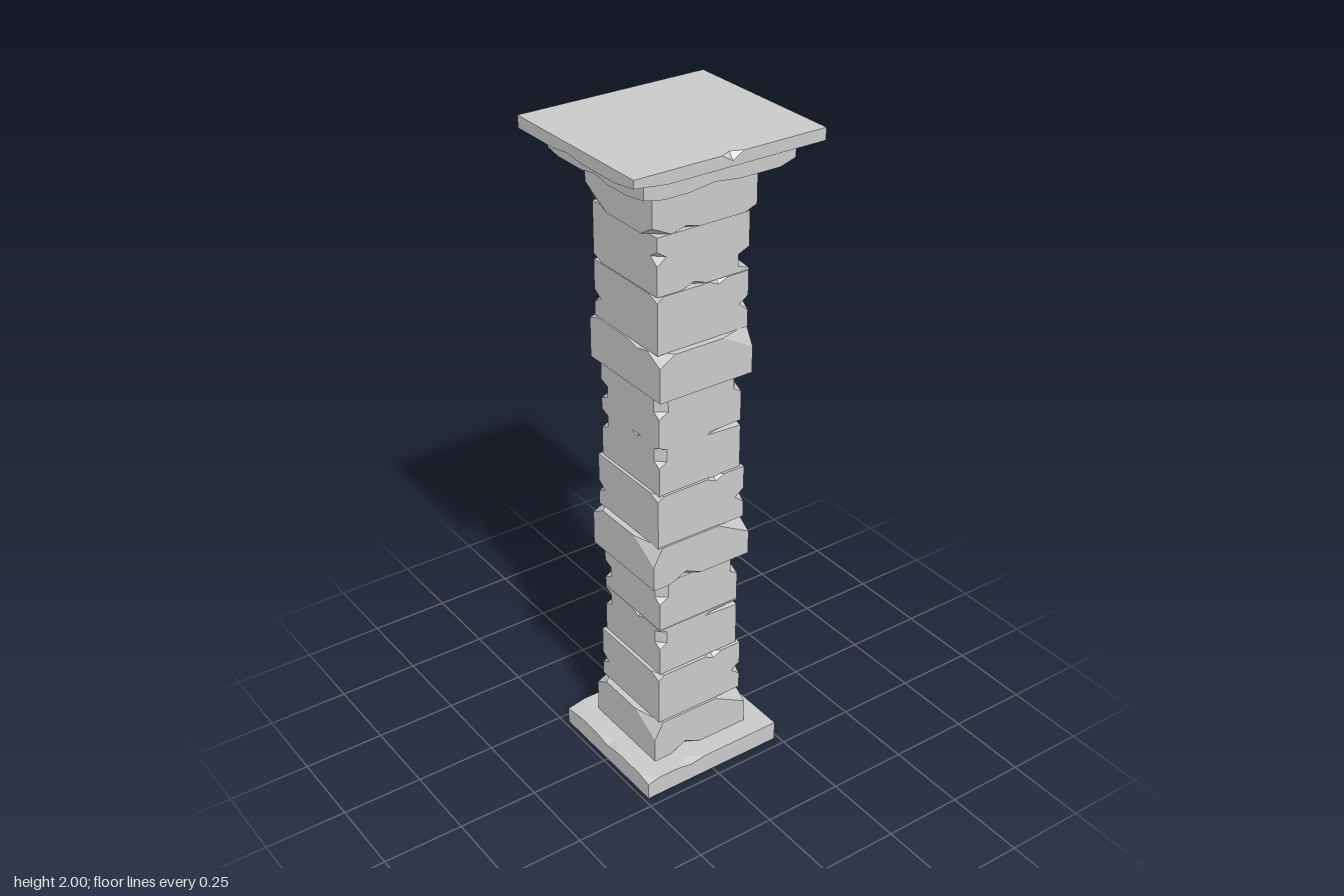
import * as THREE from 'three';

const stone = new THREE.MeshStandardMaterial({ color: 0xcacaca });
stone.name = 'stone grey';

// A chipped stone block centred on its own origin. Sides 0-3 are front, +x, back, -x;
// corner k is the right-hand end of side k when that side is faced.
//   chips:   [side, top(1)/bottom(-1), along, halfWidth, height, depth]
//   cuts:    [corner, top(1)/bottom(-1), reachOnSide, reachOnNextSide, height]
//   notches: [corner, y0, y1, y2, y3, reachOnSide, reachOnNextSide], y from the block's foot
function blockGeometry({ w, d, h, chips = [], cuts = [], notches = [] }) {
  const out = [];
  const half = (k) => (k % 2 ? d : w) / 2;
  const point = (k, u, y, inset = 0) => {
    k = (k + 4) % 4;
    const s = [0, 1, 0, -1][k], c = [1, 0, -1, 0][k], n = half(k + 1) - inset;
    return [c * u + s * n, y, -s * u + c * n];
  };
  const tri = (a, b, c) => out.push(...a, ...b, ...c);
  const fill = (flat, solid) => {
    const contour = flat.map(([x, y]) => new THREE.Vector2(x, y));
    for (const [a, b, c] of THREE.ShapeUtils.triangulateShape(contour, [])) tri(solid[a], solid[b], solid[c]);
  };
  const cutAt = (c, e) => cuts.find((t) => t[0] === (c + 4) % 4 && t[1] === e);

  // Points along one horizontal edge, left to right: [u, y, inset on top or bottom face]
  const edge = (k, e) => {
    const y = e * h / 2, hw = half(k), left = cutAt(k - 1, e), right = cutAt(k, e);
    const pts = left ? [[-hw, y - e * left[4], -1], [-hw + left[3], y, 0]] : [[-hw, y, 0]];
    chips.filter((t) => t[0] === k && t[1] === e).sort((a, b) => a[2] - b[2]).forEach(([, , u, r, ch, dep]) =>
      pts.push([u - r, y, 0], [u, y - e * ch, dep], [u + r, y, 0]));
    if (right) pts.push([hw - right[2], y, 0], [hw, y - e * right[4], -1]);
    else pts.push([hw, y, 0]);
    return pts;
  };

  // Upright faces with their bitten outlines
  for (let k = 0; k < 4; k++) {
    const hw = half(k), foot = -h / 2;
    const bites = (c, sign, reach) => notches.filter((t) => t[0] === (c + 4) % 4).sort((a, b) => a[1] - b[1])
      .flatMap((t) => [[sign * hw, t[1] + foot], [sign * (hw - t[reach]), t[2] + foot],
        ...(t[3] > t[2] ? [[sign * (hw - t[reach]), t[3] + foot]] : []), [sign * hw, t[4] + foot]]);
    const flat = [...edge(k, -1), ...bites(k, 1, 5), ...edge(k, 1).reverse(), ...bites(k - 1, -1, 6).reverse()];
    fill(flat, flat.map(([u, y]) => point(k, u, y)));
  }

  // Top and bottom faces
  for (const e of [1, -1]) {
    const ring = [];
    for (let k = 0; k < 4; k++) {
      const pts = edge(k, e).filter((p) => p[2] >= 0);
      if (!cutAt(k, e)) pts.pop();
      pts.forEach(([u, , inset]) => ring.push(point(k, u, e * h / 2, inset)));
    }
    if (e < 0) ring.reverse();
    fill(ring.map((p) => [p[0], -e * p[2]]), ring);
  }

  // Broken surfaces inside the chips, cuts and notches
  const facing = (e, a, b, c) => (e > 0 ? tri(a, b, c) : tri(a, c, b));
  for (const [k, e, u, r, ch, dep] of chips) {
    const y = e * h / 2, low = point(k, u, y - e * ch), inner = point(k, u, y, dep);
    facing(e, point(k, u - r, y), low, inner);
    facing(e, point(k, u + r, y), inner, low);
  }
  for (const [c, e, a, b, ch] of cuts) {
    const y = e * h / 2;
    facing(e, point(c, half(c), y - e * ch), point(c + 1, -half(c + 1) + b, y), point(c, half(c) - a, y));
  }
  for (const [c, ...t] of notches) {
    const [y0, y1, y2, y3] = t.slice(0, 4).map((y) => y - h / 2);
    const A = (y) => point(c, half(c) - t[4], y), B = (y) => point(c + 1, -half(c + 1) + t[5], y);
    tri(point(c, half(c), y0), B(y1), A(y1));
    tri(point(c, half(c), y3), A(y2), B(y2));
    if (y2 > y1) {
      tri(A(y1), B(y1), B(y2));
      tri(A(y1), B(y2), A(y2));
    }
  }

  const g = new THREE.BufferGeometry();
  g.setAttribute('position', new THREE.Float32BufferAttribute(out, 3));
  g.computeVertexNormals();
  return g;
}

// The kinds of block the pillar is stacked from
const kinds = {
  slab: {
    w: 0.473, d: 0.438, h: 0.063,
    cuts: [[1, 1, 0.07, 0.05, 0.015], [2, 1, 0.06, 0.08, 0.012], [3, 1, 0.05, 0.04, 0.01]],
    chips: [[0, 1, -0.08, 0.05, 0.008, 0.03], [1, 1, 0.03, 0.07, 0.01, 0.03],
      [2, 1, 0.02, 0.08, 0.01, 0.03], [3, 1, 0, 0.06, 0.01, 0.03]],
  },
  capSlab: {
    w: 0.592, d: 0.527, h: 0.035,
    cuts: [[3, -1, 0.08, 0.1, 0.012], [1, -1, 0.07, 0.08, 0.008]],
    chips: [[0, 1, 0, 0.034, 0.02, 0.016], [1, -1, 0, 0.06, 0.008, 0.025],
      [2, -1, 0.05, 0.07, 0.008, 0.025], [3, -1, -0.03, 0.06, 0.008, 0.025]],
  },
  band: {
    w: 0.333, d: 0.306, h: 0.135,
    cuts: [[0, 1, 0.11, 0.09, 0.06], [1, 1, 0.05, 0.04, 0.015], [2, 1, 0.06, 0.05, 0.03], [3, 1, 0.1, 0.03, 0.055]],
    chips: [[0, -1, -0.055, 0.055, 0.025, 0.03], [1, 1, 0.035, 0.04, 0.013, 0.02], [2, 1, 0.06, 0.045, 0.012, 0.02]],
  },
  wide: {
    w: 0.296, d: 0.296, h: 0.168,
    cuts: [[3, 1, 0.04, 0.02, 0.015]],
    chips: [[0, 1, 0.05, 0.03, 0.014, 0.02], [2, 1, 0.03, 0.04, 0.015, 0.02]],
    notches: [[0, 0.05, 0.075, 0.075, 0.095, 0.03, 0.03], [1, 0.1, 0.115, 0.15, 0.162, 0.11, 0.035],
      [2, 0.04, 0.06, 0.06, 0.08, 0.03, 0.03]],
  },
  narrow: {
    w: 0.276, d: 0.28, h: 0.158,
    chips: [[1, 1, 0.045, 0.027, 0.014, 0.02], [3, 1, 0.03, 0.03, 0.012, 0.02]],
    notches: [[0, 0.137, 0.144, 0.15, 0.154, 0.115, 0.03], [1, 0.05, 0.07, 0.07, 0.09, 0.025, 0.025],
      [2, 0.09, 0.105, 0.14, 0.152, 0.03, 0.03], [3, 0.09, 0.105, 0.145, 0.155, 0.025, 0.025]],
  },
  narrowUpper: {
    w: 0.276, d: 0.28, h: 0.158,
    chips: [[1, 1, 0.085, 0.04, 0.012, 0.02], [2, 1, 0, 0.03, 0.012, 0.02]],
    notches: [[0, 0.09, 0.105, 0.145, 0.153, 0.025, 0.03], [2, 0.03, 0.045, 0.08, 0.09, 0.03, 0.03],
      [3, 0.09, 0.105, 0.145, 0.153, 0.025, 0.03]],
  },
};

// name, kind, foot height, quarter turns, upside down
const stack = [
  ['base', 'slab', 0],
  ['lowerBand', 'band', 0.063],
  ['lowerWideBlock', 'wide', 0.2],
  ['lowerNarrowBlock', 'narrow', 0.37],
  ['lowerUpperNarrowBlock', 'narrowUpper', 0.53],
  ['middleBand', 'band', 0.688],
  ['middleWideBlock', 'wide', 0.82],
  ['middleNarrowBlock', 'narrow', 0.985],
  ['middleUpperNarrowBlock', 'narrowUpper', 1.14],
  ['upperBand', 'band', 1.296, 1],
  ['upperWideBlock', 'wide', 1.43],
  ['topWideBlock', 'wide', 1.6, 0, true],
  ['topBand', 'band', 1.77, 0, true],
  ['capitalSlab', 'slab', 1.904, 0, true],
  ['capitalTop', 'capSlab', 1.965],
];

export function createModel() {
  const pillar = new THREE.Group();
  pillar.name = 'stonePillar';
  const shapes = Object.fromEntries(Object.entries(kinds).map(([key, k]) => [key, blockGeometry(k)]));
  for (const [name, kind, foot, turns = 0, flipped = false] of stack) {
    const block = new THREE.Mesh(shapes[kind], stone);
    block.name = name;
    block.position.y = foot + kinds[kind].h / 2;
    block.rotation.set(flipped ? Math.PI : 0, turns * Math.PI / 2, 0);
    pillar.add(block);
  }
  return pillar;
}
